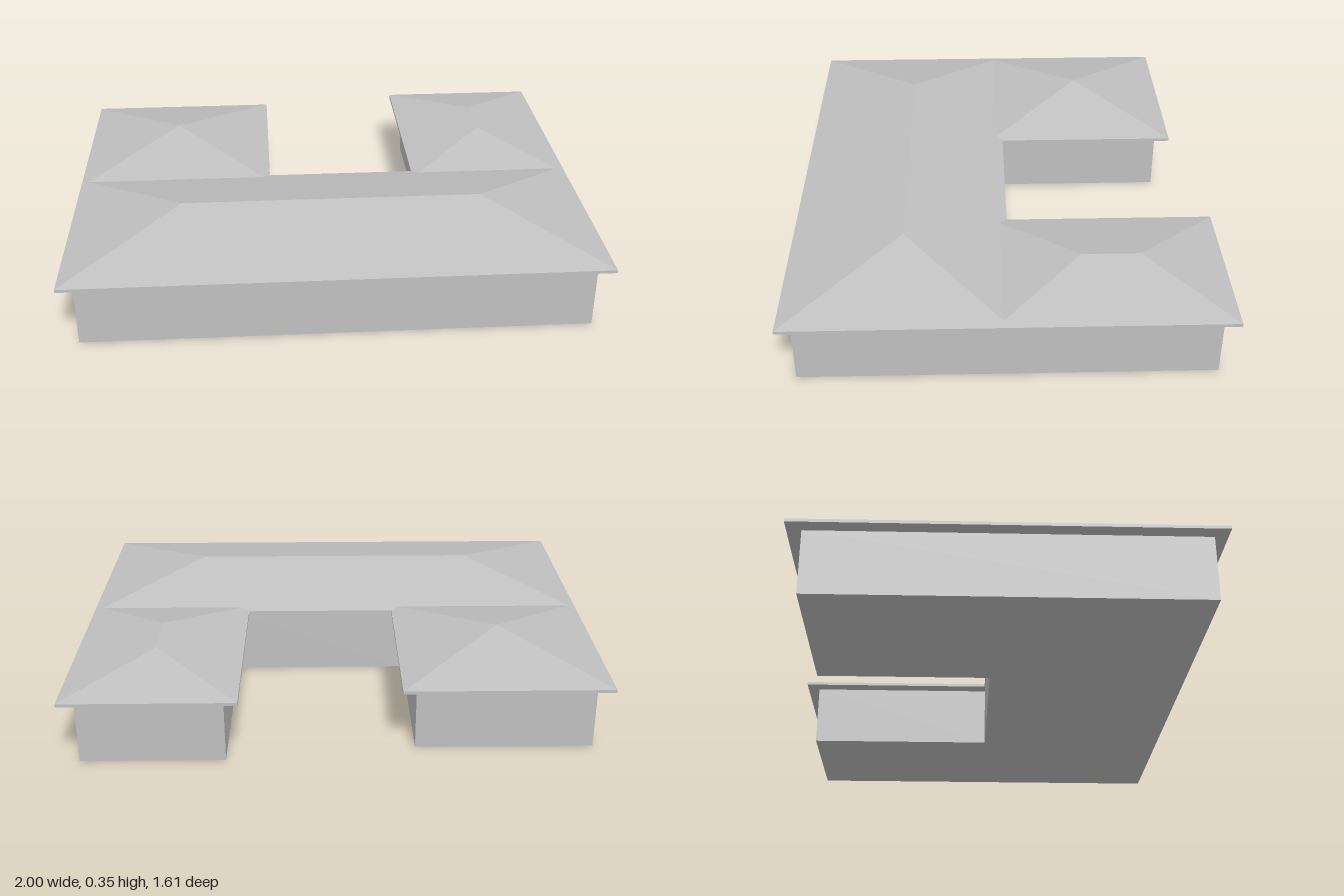
import * as THREE from 'three';

const EAVE_LOW = 0.249, EAVE_TOP = 0.261;

// Hipped roof over the rectangle x0..x1, z0..z1, with a ridge from p to q (each [x, z])
function hipRoof(x0, x1, z0, z1, p, q, ridgeY) {
  const corners = [[x0, z1], [x1, z1], [x1, z0], [x0, z0]];
  const at = ([x, z], y) => [x, y, z];
  const dist = (a, b) => Math.hypot(a[0] - b[0], a[1] - b[1]);
  const nearest = (c) => (dist(c, p) <= dist(c, q) ? p : q);
  const pos = [];
  const tri = (a, b, c) => pos.push(...a, ...b, ...c);
  const quad = (a, b, c, d) => { tri(a, b, c); tri(a, c, d); };

  corners.forEach((a, i) => {
    const b = corners[(i + 1) % 4];
    const ra = nearest(a), rb = nearest(b);
    // fascia
    quad(at(a, EAVE_LOW), at(b, EAVE_LOW), at(b, EAVE_TOP), at(a, EAVE_TOP));
    // slope
    tri(at(a, EAVE_TOP), at(b, EAVE_TOP), at(rb, ridgeY));
    if (ra !== rb) tri(at(a, EAVE_TOP), at(rb, ridgeY), at(ra, ridgeY));
  });
  // soffit
  const [A, B, C, D] = corners.map((c) => at(c, EAVE_LOW));
  quad(A, D, C, B);

  const geo = new THREE.BufferGeometry();
  geo.setAttribute('position', new THREE.Float32BufferAttribute(pos, 3));
  geo.computeVertexNormals();
  return geo;
}

export function createModel() {
  const group = new THREE.Group();
  group.name = 'courtyardHouse';
  const grey = new THREE.MeshStandardMaterial({ color: 0xc0c0c0 });
  grey.name = 'plain grey';

  const add = (name, geo) => {
    const mesh = new THREE.Mesh(geo, grey);
    mesh.name = name;
    group.add(mesh);
  };

  // U-shaped walls, drawn in plan as [x, -z] and raised along y
  const plan = [
    [-0.945, -0.757], [0.945, -0.757], [0.945, 0.757], [0.413, 0.757],
    [0.413, 0.008], [-0.283, 0.008], [-0.283, 0.677], [-0.945, 0.677],
  ].map(([x, y]) => new THREE.Vector2(x, y));
  const walls = new THREE.ExtrudeGeometry(new THREE.Shape(plan), { depth: 0.25, bevelEnabled: false });
  walls.rotateX(-Math.PI / 2);
  add('walls', walls);

  // Main roof along the front, and one roof on each rear wing
  add('mainRoof', hipRoof(-1, 1, -0.01, 0.805, [-0.573, 0.377], [0.573, 0.377], 0.355));
  const apex = [-0.615, -0.343];
  add('rightWingRoof', hipRoof(-1, -0.23, -0.73, 0.043, apex, apex, 0.345));
  add('leftWingRoof', hipRoof(0.36, 1, -0.805, 0.047, [0.68, -0.49], [0.68, -0.272], 0.33));

  return group;
}
